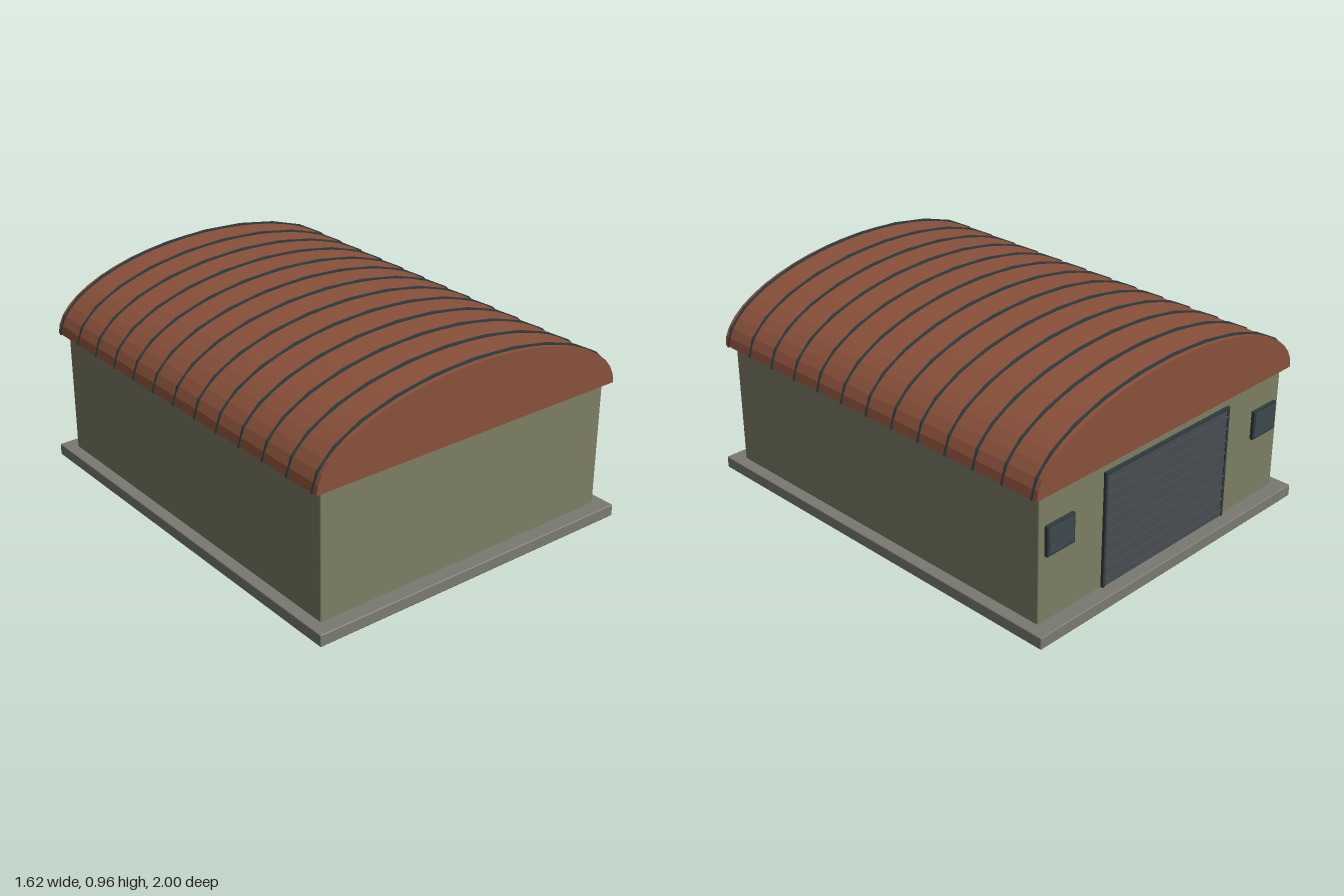
import * as THREE from 'three';
import { RoundedBoxGeometry } from 'three/addons/geometries/RoundedBoxGeometry.js';

const material = (name, color, flatShading = false) => {
  const m = new THREE.MeshStandardMaterial({ color, flatShading });
  m.name = name;
  return m;
};

// points on the upper half of an ellipse, from +x to -x
function arch(a, h, segments) {
  const points = [];
  for (let i = 0; i <= segments; i++) {
    const t = (i / segments) * Math.PI;
    points.push(new THREE.Vector2(a * Math.cos(t), h * Math.sin(t)));
  }
  return points;
}

// extrudes an outline along z, centred on z = 0
function slab(points, depth) {
  const geo = new THREE.ExtrudeGeometry(new THREE.Shape(points), { depth, bevelEnabled: false });
  return geo.translate(0, 0, -depth / 2);
}

export function createModel() {
  const concrete = material('concrete', 0x7a7a72);
  const wallPaint = material('wall paint', 0x7b7e64);
  const roofRed = material('roof red', 0x8a513b, true);
  const darkSteel = material('dark steel', 0x2f3c3e);
  const doorGrey = material('door grey', 0x474b50);
  const glass = material('window glass', 0x3f484f);

  const model = new THREE.Group();
  model.name = 'warehouse';
  const add = (name, geo, mat, x, y, z, parent = model) => {
    const mesh = new THREE.Mesh(geo, mat);
    mesh.name = name;
    mesh.position.set(x, y, z);
    parent.add(mesh);
    return mesh;
  };
  const box = (name, w, h, d, mat, x, y, z, parent) =>
    add(name, new THREE.BoxGeometry(w, h, d), mat, x, y, z, parent);

  // foundation and walls with slightly softened edges
  add('foundation', new RoundedBoxGeometry(1.62, 0.055, 2, 1, 0.005), concrete, 0, 0.0275, 0);
  add('walls', new RoundedBoxGeometry(1.51, 0.6, 1.86, 1, 0.006), wallPaint, 0, 0.345, 0);

  // barrel roof
  const eaves = 0.635;
  add('roof', slab(arch(0.793, 0.316, 24), 1.91), roofRed, 0, eaves, 0);

  // coarser arched ribs across the roof
  const ribOutline = [...arch(0.8, 0.326, 12), ...arch(0.786, 0.312, 12).reverse()];
  const ribGeo = slab(ribOutline, 0.011);
  for (let i = -6; i <= 6; i++) add('roofRib', ribGeo, darkSteel, 0, eaves, i * 0.155);

  // roller door on the back wall
  const door = new THREE.Group();
  door.name = 'rollerDoor';
  model.add(door);
  box('doorPanel', 0.76, 0.52, 0.014, doorGrey, 0, 0.315, -0.932, door);
  for (const s of [-1, 1]) box('doorJamb', 0.012, 0.53, 0.018, darkSteel, s * 0.384, 0.32, -0.934, door);
  box('doorLintel', 0.78, 0.012, 0.018, darkSteel, 0, 0.58, -0.934, door);
  for (let i = 0; i < 9; i++) {
    box('doorSlat', 0.756, 0.008, 0.008, doorGrey, 0, 0.085 + i * 0.057, -0.941, door);
  }

  // framed windows either side of the door
  for (const s of [-1, 1]) {
    const window = new THREE.Group();
    window.name = 'window';
    window.position.set(s * 0.645, 0.423, -0.936);
    model.add(window);
    box('windowFrame', 0.155, 0.135, 0.018, darkSteel, 0, 0, 0, window);
    box('windowPane', 0.135, 0.115, 0.004, glass, 0, 0, -0.01, window);
  }
  return model;
}
